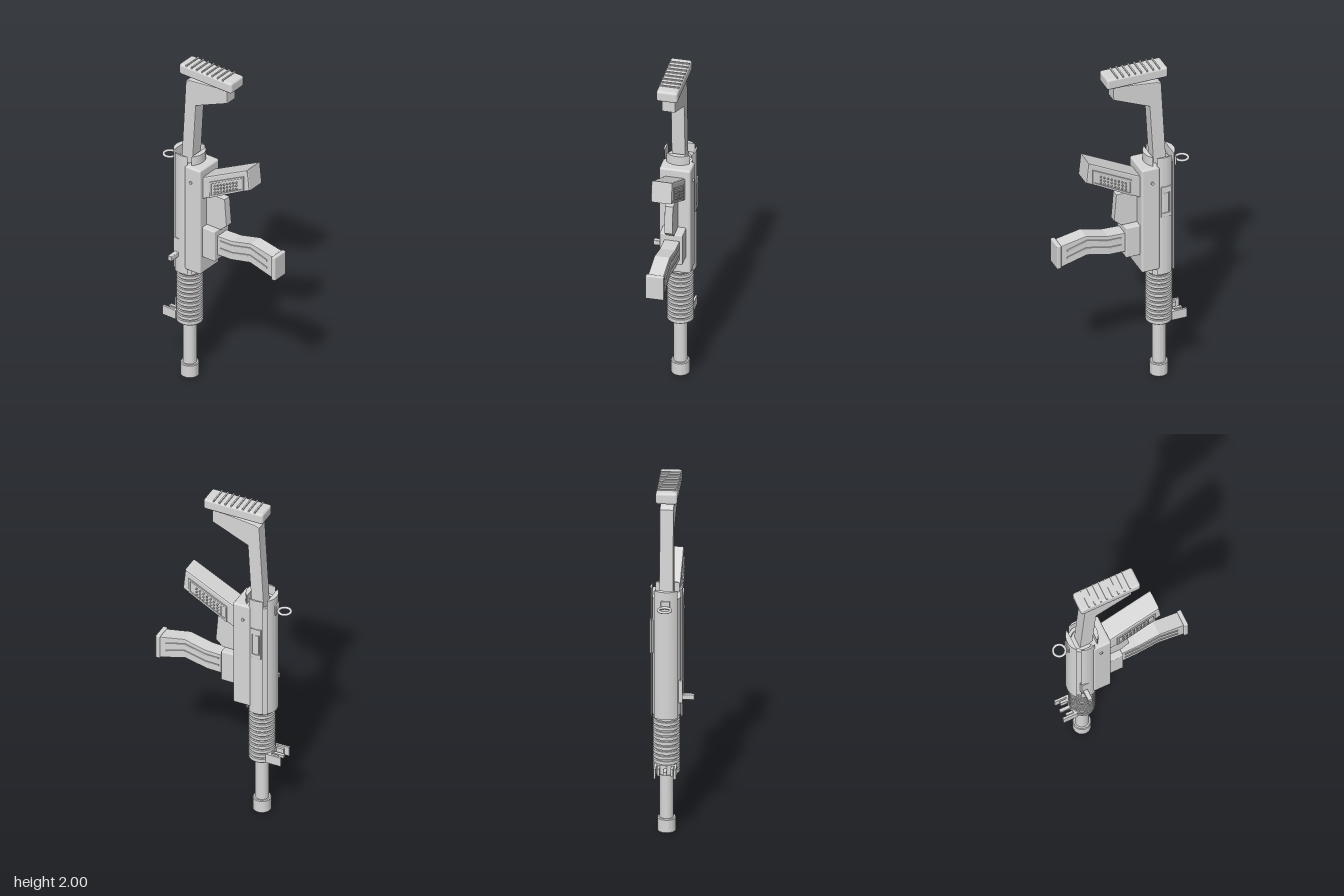
import * as THREE from 'three';
import { toCreasedNormals } from 'three/addons/utils/BufferGeometryUtils.js';
import { RoundedBoxGeometry } from 'three/addons/geometries/RoundedBoxGeometry.js';

const CX = 0.029, CZ = -0.219; // bore axis

export function createModel() {
  const root = new THREE.Group();
  const grey = new THREE.MeshStandardMaterial({ color: 0xd8d8d8 });
  grey.name = 'light grey metal';

  const add = (name, geo, x = 0, y = 0, z = 0) => {
    const m = new THREE.Mesh(geo, grey);
    m.name = name;
    m.position.set(x, y, z);
    root.add(m);
    return m;
  };
  // box given by its limits, optionally rounded
  const box = (name, x0, x1, y0, y1, z0, z1, r = 0) => {
    const s = [x1 - x0, y1 - y0, z1 - z0];
    const g = r ? new RoundedBoxGeometry(...s, 2, r) : new THREE.BoxGeometry(...s);
    return add(name, g, (x0 + x1) / 2, (y0 + y1) / 2, (z0 + z1) / 2);
  };
  // outline in (z, y), extruded across x and centred on x
  const side = (name, pts, width, x = CX, bevel = 0, hole = null) => {
    const s = new THREE.Shape(pts.map(p => new THREE.Vector2(...p)));
    if (hole) s.holes.push(new THREE.Path(hole.map(p => new THREE.Vector2(...p))));
    const depth = width - 2 * bevel;
    const g = new THREE.ExtrudeGeometry(s, {
      depth, bevelEnabled: bevel > 0, bevelSize: bevel, bevelOffset: -bevel,
      bevelThickness: bevel, bevelSegments: 2,
    });
    g.translate(0, 0, -depth / 2).rotateY(-Math.PI / 2);
    return add(name, g, x);
  };
  const lathe = (name, pts) => add(name, toCreasedNormals(
    new THREE.LatheGeometry(pts.map(p => new THREE.Vector2(...p)), 40), 0.6), CX, 0, CZ);

  // barrel and muzzle with a bored end
  lathe('muzzle', [[0, 0.05], [0.018, 0.05], [0.018, 0.004], [0.022, 0], [0.047, 0],
    [0.051, 0.005], [0.051, 0.078], [0.047, 0.083], [0, 0.083]]);
  lathe('barrel', [[0, 0.08], [0.038, 0.08], [0.038, 0.37], [0, 0.37]]);

  // ribbed handguard
  const rib = [[0, 0.35], [0.071, 0.35], [0.074, 0.354]];
  for (let i = 0; i < 11; i++) {
    const y = 0.38 + i * 0.0285;
    rib.push([0.074, y - 0.005], [0.065, y - 0.004], [0.065, y + 0.004], [0.074, y + 0.005]);
  }
  rib.push([0.074, 0.695], [0, 0.695]);
  lathe('handguard', rib);

  // front sight: base, two wings and a post
  box('frontSightBase', CX - 0.06, CX + 0.06, 0.36, 0.41, -0.292, -0.275);
  for (const s of [-1, 1]) {
    const c = CX + s * 0.055;
    box('frontSightWing', c - 0.006, c + 0.006, 0.357, 0.413, -0.358, -0.27);
    box('frontSightClamp', CX + s * 0.037 - 0.007, CX + s * 0.037 + 0.007, 0.365, 0.405, -0.332, -0.27);
  }
  box('frontSightPost', CX - 0.009, CX + 0.009, 0.376, 0.394, -0.353, -0.27);

  // receiver tube: core wrapped by four curved cover plates
  lathe('receiverCore', [[0, 0.695], [0.078, 0.695], [0.078, 1.38], [0.06, 1.38], [0.06, 1.36], [0, 1.36]]);
  const cover = (name, angle, half) => {
    const s = new THREE.Shape();
    s.absarc(0, 0, 0.089, angle - half, angle + half, false);
    s.closePath();
    const g = new THREE.ExtrudeGeometry(s, { depth: 0.75, bevelEnabled: false, curveSegments: 20 });
    g.rotateX(-Math.PI / 2);
    add(name, toCreasedNormals(g, 0.6), CX, 0.685, CZ);
  };
  cover('rightCover', Math.PI, 0.5);
  cover('leftCover', 0, 0.5);
  cover('backCover', Math.PI / 2, 0.82);
  cover('frontCover', -Math.PI / 2, 0.82);

  // receiver housing with cross pin
  box('receiverHousing', -0.059, 0.116, 0.72, 1.38, -0.19, -0.083, 0.012);
  const pin = new THREE.CylinderGeometry(0.009, 0.009, 0.19, 16).rotateZ(Math.PI / 2);
  add('crossPin', pin, CX, 1.287, -0.145);

  // ejection port frame and cover on the left
  side('ejectionFrame', [[-0.255, 1.055], [-0.195, 1.055], [-0.195, 1.248], [-0.255, 1.248]], 0.024, 0.109, 0.003,
    [[-0.246, 1.08], [-0.204, 1.08], [-0.204, 1.21], [-0.246, 1.21]]);
  box('ejectionCover', 0.1, 0.119, 1.085, 1.205, -0.241, -0.209, 0.003);

  // charging handle on the right
  box('chargingHandle', -0.125, -0.03, 0.785, 0.815, -0.254, -0.227, 0.004);
  box('chargingSlide', -0.061, -0.04, 0.77, 0.9, -0.262, -0.222);

  // rear ring sight
  box('rearSightBase', CX - 0.025, CX + 0.025, 1.325, 1.385, -0.314, -0.295, 0.004);
  add('rearSightRing', new THREE.TorusGeometry(0.034, 0.0075, 12, 32).rotateX(Math.PI / 2), CX, 1.352, -0.355);

  // magazine well and curved magazine
  box('magazineWell', -0.037, 0.091, 0.825, 1.015, -0.09, 0, 0.006);
  side('magazine', [[-0.01, 0.858], [0.09, 0.861], [0.222, 0.891], [0.38, 0.848],
    [0.38, 0.983], [0.228, 1.013], [0.1, 0.981], [-0.01, 0.976]], 0.086, 0.032, 0.004);
  box('magazineCap', -0.021, 0.08, 0.843, 0.99, 0.374, 0.4, 0.006);
  for (const x of [-0.012, 0.076]) {
    for (const d of [0, 0.046]) {
      side('magazineRib', [[0.02, 0.9 + d], [0.1, 0.902 + d], [0.225, 0.932 + d], [0.34, 0.898 + d],
        [0.34, 0.908 + d], [0.225, 0.942 + d], [0.1, 0.912 + d], [0.02, 0.91 + d]], 0.008, x, 0.002);
    }
  }

  // trigger guard and trigger
  side('triggerGuard', [[-0.09, 1.015], [0.01, 1.015], [0.052, 1.052], [0.039, 1.217], [-0.09, 1.218]],
    0.046, 0.025, 0.003, [[-0.085, 1.033], [0.002, 1.033], [0.032, 1.062], [0.02, 1.19], [0.008, 1.202], [-0.085, 1.204]]);
  const curve = new THREE.CatmullRomCurve3([[-0.085, 1.155], [-0.045, 1.15], [-0.02, 1.132], [-0.006, 1.105]]
    .map(([z, y]) => new THREE.Vector3(0, y, z)));
  add('trigger', new THREE.TubeGeometry(curve, 12, 0.006, 8), 0.025).scale.x = 2;

  // pistol grip with raised frames and studs on both sides
  side('grip', [[-0.1, 1.183], [0.232, 1.36], [0.218, 1.488], [-0.1, 1.323]], 0.118, 0.028, 0.01);
  for (const s of [-1, 1]) {
    const x = 0.028 + s * 0.0585;
    side('gripPanel', [[-0.035, 1.22], [0.195, 1.348], [0.195, 1.44], [-0.035, 1.32]], 0.013, x, 0.003,
      [[-0.024, 1.24], [0.184, 1.356], [0.184, 1.422], [-0.024, 1.312]]);
    for (let i = 0; i < 8; i++) {
      for (let j = -1; j <= 1; j++) {
        const z = i * 0.021;
        const stud = new THREE.CylinderGeometry(0.005, 0.005, 0.018, 8).rotateZ(Math.PI / 2);
        add('gripStud', stud, x, 1.287 + z * 0.53 + j * 0.02, z);
      }
    }
  }

  // shoulder stock
  side('stockArm', [[-0.248, 1.36], [-0.173, 1.36], [-0.15, 1.75], [0.063, 1.843], [0.063, 1.935],
    [0.02, 1.922], [-0.19, 1.897], [-0.219, 1.885]], 0.076, CX, 0.005);
  box('buttPad', -0.031, 0.088, 1.928, 1.994, -0.25, 0.108, 0.014);
  for (let i = 0; i < 8; i++) {
    const z = -0.2 + i * 0.0353;
    box('buttRidge', -0.027, 0.084, 1.985, 2, z - 0.004, z + 0.004);
  }
  return root;
}
